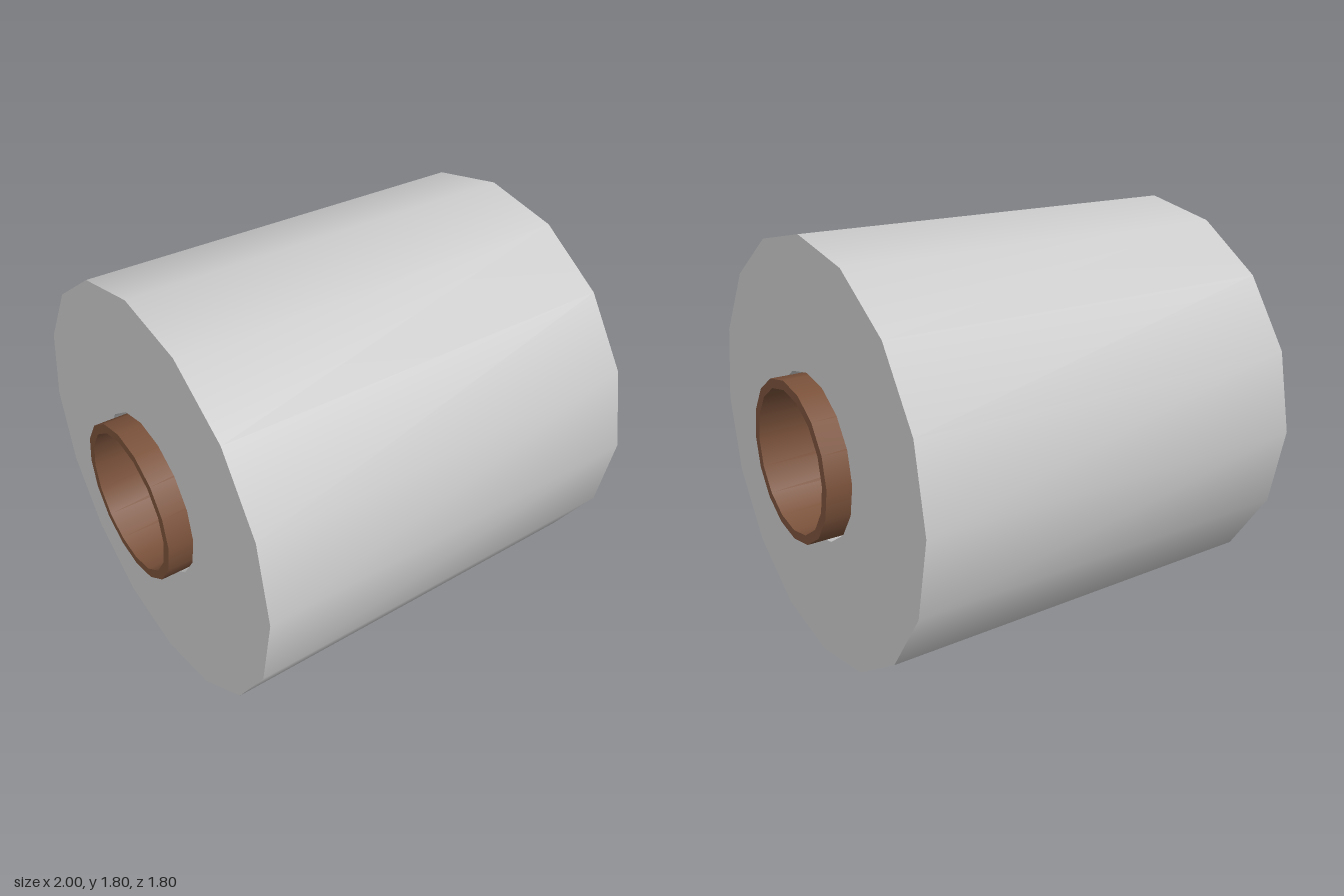
import * as THREE from 'three';
import { toCreasedNormals } from 'three/addons/utils/BufferGeometryUtils.js';

const SIDES = 16;
const CENTRE_Y = 0.9;

// Hollow cylinder lying along x, smooth walls and sharp rims
function hollowRoll(name, inner, outer, length, color) {
  const h = length / 2;
  const profile = [[inner, -h], [outer, -h], [outer, h], [inner, h], [inner, -h]]
    .map(([r, y]) => new THREE.Vector2(r, y));
  const geometry = new THREE.LatheGeometry(profile, SIDES);
  geometry.rotateZ(-Math.PI / 2);
  const mesh = new THREE.Mesh(
    toCreasedNormals(geometry, Math.PI / 6),
    new THREE.MeshStandardMaterial({ color })
  );
  mesh.name = name;
  mesh.position.y = CENTRE_Y;
  return mesh;
}

export function createModel() {
  const group = new THREE.Group();
  group.name = 'paperRoll';
  // Wound paper, with a narrow gap around the core
  group.add(hollowRoll('paper', 0.355, 0.9, 1.8, 0xcccccc));
  // Cardboard tube sticking out at both ends
  group.add(hollowRoll('cardboardCore', 0.302, 0.341, 2, 0x7b523b));
  return group;
}
